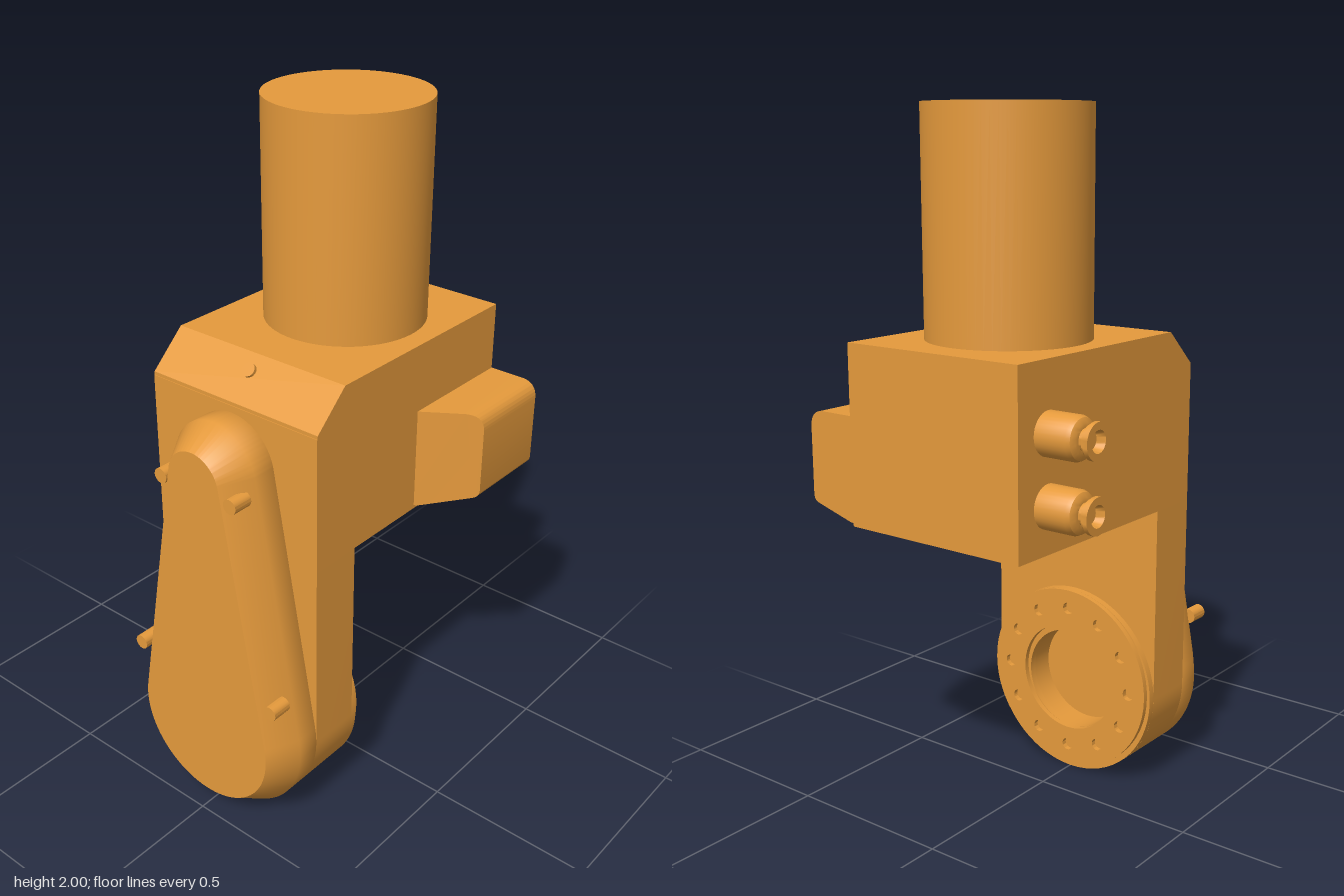
import * as THREE from 'three';
import { toCreasedNormals } from 'three/addons/utils/BufferGeometryUtils.js';

const material = new THREE.MeshStandardMaterial({ color: 0xe59a3c });
const R = 0.29; // half width of housing and radius of the lower end

function add(parent, name, geometry, x = 0, y = 0, z = 0) {
  const mesh = new THREE.Mesh(toCreasedNormals(geometry, 0.6), material);
  mesh.name = name;
  mesh.position.set(x, y, z);
  parent.add(mesh);
  return mesh;
}

function polygon(points) {
  return new THREE.Shape(points.map(([x, y]) => new THREE.Vector2(x, y)));
}

function extrude(shape, depth, options = {}) {
  return new THREE.ExtrudeGeometry(shape, { depth, bevelEnabled: false, curveSegments: 32, ...options });
}

function circleHole(x, y, r) {
  return new THREE.Path().absarc(x, y, r, 0, Math.PI * 2, true);
}

// Annulus with optional ring of screw holes
function ring(outer, inner, holes = 0) {
  const shape = new THREE.Shape().absarc(0, 0, outer, 0, Math.PI * 2, false);
  shape.holes.push(circleHole(0, 0, inner));
  for (let i = 0; i < holes; i++) {
    const a = (i / holes) * Math.PI * 2;
    const mid = (outer + inner) / 2;
    shape.holes.push(circleHole(Math.cos(a) * mid, Math.sin(a) * mid, 0.018));
  }
  return shape;
}

export function createModel() {
  const model = new THREE.Group();
  model.name = 'wristUnit';

  // Mounting column
  add(model, 'column', new THREE.CylinderGeometry(0.23, 0.23, 0.64, 64), 0, 1.68, -0.15);

  // Upper housing: side profile (z, y) swept across x
  const housing = extrude(polygon([
    [-0.475, 0.87], [0.318, 0.87], [0.318, 1.28], [0.21, 1.38], [-0.475, 1.38],
  ]), 2 * R);
  housing.rotateY(-Math.PI / 2);
  add(model, 'upperHousing', housing, R, 0, 0);

  // Hanging arm with rounded lower end and a bore
  const armShape = new THREE.Shape();
  armShape.moveTo(R, 1.27);
  armShape.lineTo(-R, 1.27);
  armShape.lineTo(-R, R);
  armShape.absarc(0, R, R, Math.PI, Math.PI * 2, false);
  armShape.closePath();
  armShape.holes.push(circleHole(0, R, 0.155));
  add(model, 'arm', extrude(armShape, 0.16), 0, 0, 0.16);

  // Front cover: tapered capsule outline with a chamfered front edge
  const topR = 0.145, topY = 1.105;
  const tilt = Math.asin((R - topR) / (topY - R));
  const coverShape = new THREE.Shape();
  coverShape.absarc(0, topY, topR, tilt, Math.PI - tilt, false);
  coverShape.absarc(0, R, R, Math.PI - tilt, Math.PI * 2 + tilt, false);
  coverShape.closePath();
  const cover = extrude(coverShape, 0.07, {
    bevelEnabled: true, bevelThickness: 0.085, bevelSize: 0.055, bevelOffset: -0.055, bevelSegments: 1,
  });
  add(model, 'frontCover', cover, 0, 0, 0.32);

  // Cover screws sitting on the chamfer
  for (const side of [-1, 1]) {
    for (const [x, y] of [[0.125, 1.08], [0.25, 0.47]]) {
      const screw = new THREE.CylinderGeometry(0.022, 0.022, 0.06, 16);
      screw.rotateX(Math.PI / 2);
      add(model, 'coverScrew', screw, side * x, y, 0.442);
    }
  }

  // Screw on the sloping top edge of the housing
  const topScrew = new THREE.CylinderGeometry(0.02, 0.02, 0.02, 16);
  add(model, 'topScrew', topScrew, 0, 1.345, 0.247).rotation.x = 0.83;

  // Output flange on the back of the arm
  const flange = new THREE.Group();
  flange.name = 'outputFlange';
  flange.position.set(0, R, 0);
  add(flange, 'flangeBase', extrude(ring(R, 0.155), 0.022), 0, 0, 0.14);
  add(flange, 'flangeRing', extrude(ring(0.28, 0.165, 12), 0.018), 0, 0.01, 0.124);
  const floor = new THREE.CylinderGeometry(0.157, 0.157, 0.02, 48);
  floor.rotateX(Math.PI / 2);
  add(flange, 'boreFloor', floor, 0, 0, 0.24);
  model.add(flange);

  // Side box: front profile swept along z, front end cut at a slant
  const boxShape = new THREE.Shape();
  boxShape.moveTo(0.27, 0.88);
  boxShape.lineTo(0.30, 0.88);
  boxShape.lineTo(0.425, 0.915);
  boxShape.quadraticCurveTo(0.443, 0.92, 0.443, 0.94);
  boxShape.lineTo(0.443, 1.13);
  boxShape.quadraticCurveTo(0.443, 1.18, 0.393, 1.18);
  boxShape.lineTo(0.27, 1.18);
  boxShape.closePath();
  const box = extrude(boxShape, 0.365);
  const p = box.attributes.position;
  for (let i = 0; i < p.count; i++) {
    if (p.getZ(i) > 0.1) p.setZ(i, 0.365 - (p.getX(i) - 0.29) * 0.66);
  }
  box.computeVertexNormals();
  add(model, 'sideBox', box, 0, 0, -0.475);

  // Pair of hose connectors: body, neck and hollow cap
  const connectorProfile = [
    [0.06, 0], [0.06, 0.105], [0.055, 0.117], [0.042, 0.125], [0.03, 0.125], [0.03, 0.138],
    [0.043, 0.142], [0.043, 0.15], [0.05, 0.152], [0.05, 0.165], [0.03, 0.165], [0.025, 0.14], [0, 0.14],
  ].map(([r, h]) => new THREE.Vector2(r, h));
  for (const y of [1.19, 1.0]) {
    const connector = new THREE.LatheGeometry(connectorProfile, 32);
    connector.rotateZ(Math.PI / 2);
    add(model, 'hoseConnector', connector, -0.28, y, -0.353);
  }

  return model;
}
